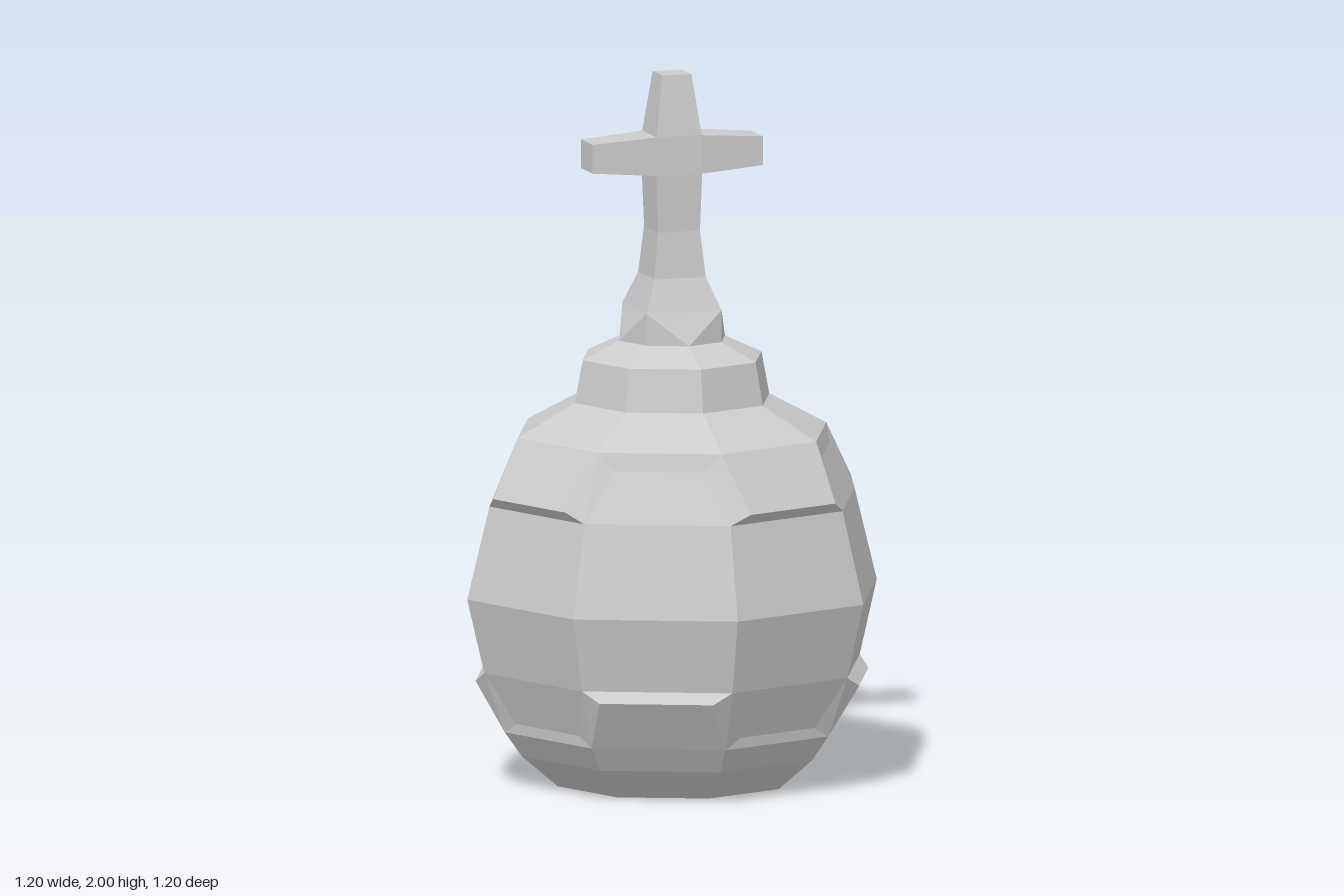
import * as THREE from 'three';

const material = new THREE.MeshStandardMaterial({ color: 0xcccccc, flatShading: true });

// Point from cylindrical values: degrees from the front, radius, height
const P = (deg, r, y) => {
  const a = THREE.MathUtils.degToRad(deg);
  return new THREE.Vector3(r * Math.sin(a), y, r * Math.cos(a));
};

// Mesh from convex faces, each listed counterclockwise from outside
function faceMesh(name, faces) {
  const pos = [];
  for (const f of faces)
    for (let i = 1; i < f.length - 1; i++)
      for (const p of [f[0], f[i], f[i + 1]]) pos.push(p.x, p.y, p.z);
  const g = new THREE.BufferGeometry();
  g.setAttribute('position', new THREE.Float32BufferAttribute(pos, 3));
  g.computeVertexNormals();
  const mesh = new THREE.Mesh(g, material);
  mesh.name = name;
  return mesh;
}

// Eight-sided bands between [radius, height] rings
function bands(rings) {
  const faces = [];
  for (let i = 0; i < rings.length - 1; i++)
    for (let d = 0; d < 360; d += 45) {
      const [a, b] = [rings[i], rings[i + 1]];
      faces.push([P(d, ...a), P(d + 45, ...a), P(d + 45, ...b), P(d, ...b)]);
    }
  return faces;
}

// Strip of quads between a lower and an upper line of points
const strip = (lo, hi) => lo.slice(1).map((_, i) => [lo[i], lo[i + 1], hi[i + 1], hi[i]]);

// Profile at the octagon corners
const CUP = [0.49, 0.16], LOW = [0.55, 0.33], MID = [0.6, 0.54], HIGH = [0.535, 0.8], COLLAR = [0.452, 0.99];
// Inset corners of the flaps (raised) and of the panels (recessed)
const IN = 6;
const FLAP_TOP = [0.545, 0.83], PANEL_TOP = [0.45, 0.94], FLAP_LOW = [0.56, 0.3], PANEL_LOW = [0.475, 0.19];

export function createModel() {
  const model = new THREE.Group();
  model.name = 'orbWithCross';

  // Round body between the two shells
  model.add(faceMesh('body', bands([LOW, MID, HIGH])));

  // Bottom disc and lower cup
  const base = Array.from({ length: 8 }, (_, i) => P(-i * 45, 0.335, 0));
  model.add(faceMesh('lowerCup', [base, ...bands([[0.335, 0], [0.44, 0.09], CUP])]));

  // Alternating raised flaps and recessed panels, repeated each quarter turn
  const upper = [], lower = [], panels = [];
  for (let d = 0; d < 360; d += 90) {
    const e = d + 45, f = d + 90;
    const pair = (a, b, c) => [P(a + IN, ...c), P(b - IN, ...c)];
    const ends = (a, b, c) => [P(a, ...c), P(b, ...c)];

    // Upper flap with its lip, and the short step on the next side
    const ut = pair(d, e, FLAP_TOP), up = pair(e, f, PANEL_TOP);
    upper.push(...strip(ut, ends(d, e, COLLAR)), ...strip(ends(d, e, HIGH), ut));
    upper.push(...strip(up, ends(e, f, COLLAR)));
    panels.push(...strip(ends(e, f, HIGH), up));

    // Lower flap with its lip, and the short step on the other side
    const lt = pair(e, f, FLAP_LOW), lp = pair(d, e, PANEL_LOW);
    lower.push(...strip(ends(e, f, CUP), lt), ...strip(lt, ends(e, f, LOW)));
    lower.push(...strip(ends(d, e, CUP), lp));
    panels.push(...strip(lp, ends(d, e, LOW)));

    // Bevelled flap sides running across the corners
    upper.push([P(d, ...HIGH), ut[0], P(d, ...COLLAR), P(d - IN, ...PANEL_TOP)]);
    upper.push([P(e, ...HIGH), up[0], P(e, ...COLLAR), ut[1]]);
    lower.push([P(d, ...CUP), lp[0], P(d, ...LOW), P(d - IN, ...FLAP_LOW)]);
    lower.push([P(e, ...CUP), lt[0], P(e, ...LOW), lp[1]]);
  }
  model.add(faceMesh('upperFlaps', upper), faceMesh('lowerFlaps', lower), faceMesh('recessedPanels', panels));

  // Shoulder and stepped collar
  model.add(faceMesh('collar', bands([COLLAR, [0.285, 1.08], [0.262, 1.2], [0.155, 1.25]])));

  // Neck: octagon turning into the square post
  const neck = [], post = [];
  const sq = (deg, half, y) => P(deg, half * Math.SQRT2, y);
  const rings = [[0.11, 1.34], [0.075, 1.43], [0.062, 1.56], [0.067, 1.72], [0.066, 1.83], [0.043, 2]];
  for (let d = 0; d < 360; d += 90) {
    const l = d - 45, r = d + 45, mid = P(d, 0.155, 1.25);
    const tl = sq(l, ...rings[0]), tr = sq(r, ...rings[0]);
    neck.push([P(l, 0.155, 1.25), mid, tl], [mid, tr, tl], [mid, P(r, 0.155, 1.25), tr]);
    for (let i = 0; i < rings.length - 1; i++)
      (i ? post : neck).push([sq(l, ...rings[i]), sq(r, ...rings[i]), sq(r, ...rings[i + 1]), sq(l, ...rings[i + 1])]);
  }
  post.push([-45, 45, 135, 225].map((a) => sq(a, ...rings[5])));
  model.add(faceMesh('neck', neck), faceMesh('crossPost', post));

  // Tapered cross arms
  for (const side of [1, -1]) {
    const g = new THREE.BoxGeometry(0.19, 0.11, 0.13);
    const p = g.attributes.position;
    for (let i = 0; i < p.count; i++)
      if (p.getX(i) * side > 0) p.setXYZ(i, p.getX(i), p.getY(i) * 0.74, p.getZ(i) * 0.8);
    g.computeVertexNormals();
    const arm = new THREE.Mesh(g, material);
    arm.name = side > 0 ? 'leftCrossArm' : 'rightCrossArm';
    arm.position.set(side * 0.155, 1.775, 0);
    model.add(arm);
  }
  return model;
}
